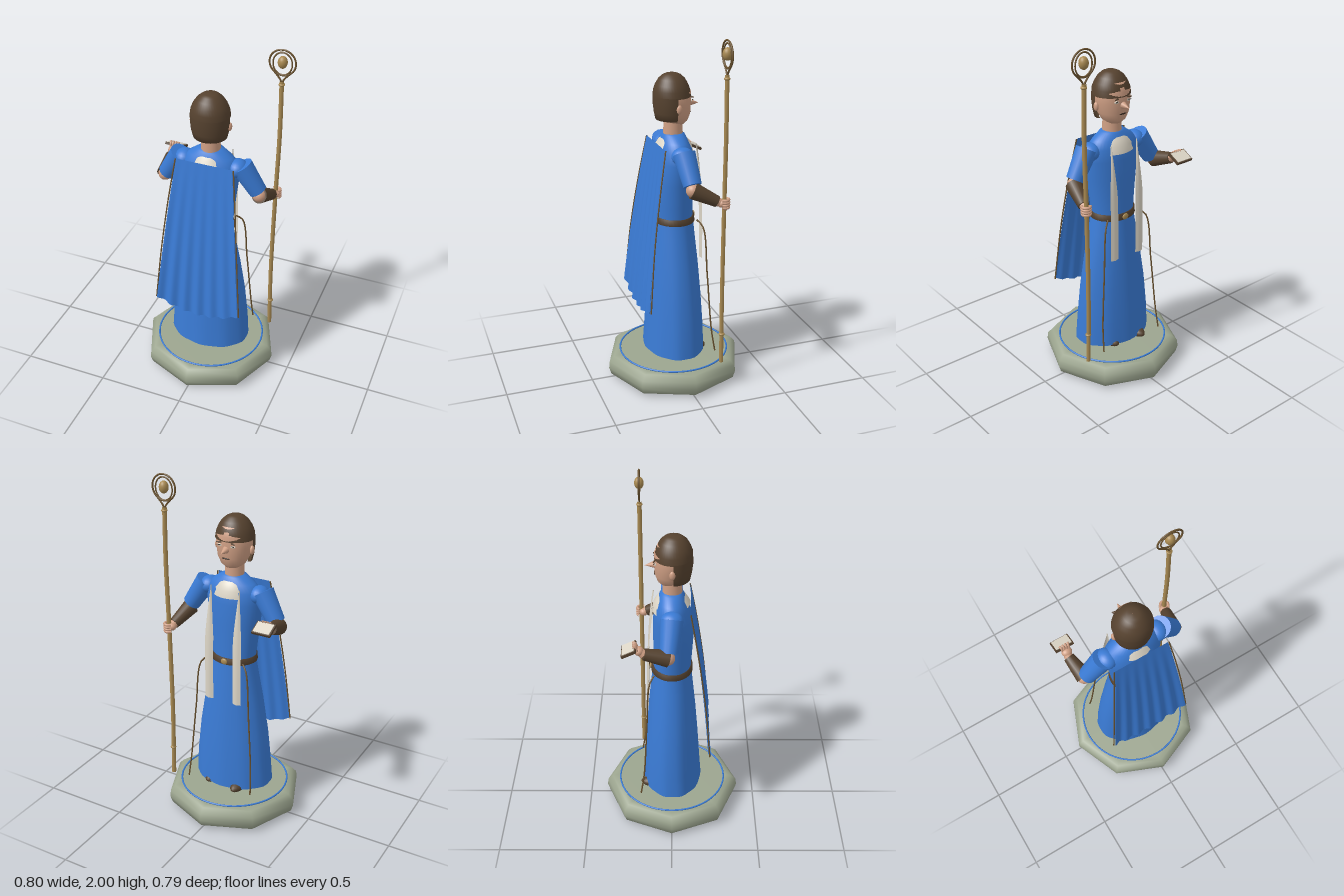
import * as THREE from 'three';

const mat = (name, color, side = THREE.FrontSide) => {
  const m = new THREE.MeshStandardMaterial({ color, side });
  m.name = name;
  return m;
};
const V = (x, y, z) => new THREE.Vector3(x, y, z);

// Surface over a grid of points; u runs to the right and v runs up as seen from outside
function grid(nu, nv, point, wrap = false) {
  const pos = [], idx = [], cols = wrap ? nu : nu + 1;
  for (let j = 0; j <= nv; j++)
    for (let i = 0; i < cols; i++) pos.push(...point(i / nu, j / nv, j));
  for (let j = 0; j < nv; j++)
    for (let i = 0; i < nu; i++) {
      const a = j * cols + i, b = j * cols + (i + 1) % cols;
      idx.push(a, b, a + cols, b, b + cols, a + cols);
    }
  const g = new THREE.BufferGeometry();
  g.setAttribute('position', new THREE.Float32BufferAttribute(pos, 3));
  g.setIndex(idx);
  g.computeVertexNormals();
  return g;
}

// Elliptical loft through rows [y, rx, rz, zCentre]; angle 0 is the back (+z)
function loft(rows, start = 0, len = Math.PI * 2, wave = 0, n = 40) {
  const full = len > 6.28;
  return grid(n, rows.length - 1, (u, v, j) => {
    const [y, rx, rz, cz = 0] = rows[j], a = start + u * len;
    const k = 1 + wave * Math.cos(a * 10) * (1 - v);
    return [Math.sin(a) * rx * k, y, cz + Math.cos(a) * rz * k];
  }, full);
}

export function createModel() {
  const D = THREE.DoubleSide;
  const blue = mat('robe blue', 0x3a7bd5, D);
  const brown = mat('leather brown', 0x55422f);
  const hairMat = mat('hair brown', 0x56422f, D);
  const skin = mat('skin', 0xcf9f84);
  const cream = mat('cream cloth', 0xdcd5c6, D);
  const gold = mat('aged gold', 0xa98a52);
  const trim = mat('trim bronze', 0x6b5330);
  const stone = mat('sage stone', 0x9ca58f);
  const dark = mat('dark features', 0x33251c);

  const model = new THREE.Group();
  model.name = 'robedFigure';
  const add = (name, geo, m, x = 0, y = 0, z = 0) => {
    const mesh = new THREE.Mesh(geo, m);
    mesh.name = name;
    mesh.position.set(x, y, z);
    model.add(mesh);
    return mesh;
  };
  const ball = (name, m, x, y, z, rx, ry = rx, rz = rx) => {
    const b = add(name, new THREE.SphereGeometry(1, 20, 14), m, x, y, z);
    b.scale.set(rx, ry, rz);
    return b;
  };
  const limb = (name, m, a, b, ra, rb, n = 18) => {
    const d = b.clone().sub(a);
    const c = add(name, new THREE.CylinderGeometry(rb, ra, d.length(), n), m);
    c.position.copy(a).add(b).multiplyScalar(0.5);
    c.quaternion.setFromUnitVectors(V(0, 1, 0), d.normalize());
    return c;
  };
  const tube = (name, m, pts, r, n = 30) =>
    add(name, new THREE.TubeGeometry(new THREE.CatmullRomCurve3(pts), n, r, 8), m);

  // Octagonal plinth with a rounded rim and an inlaid ring
  const rim = [[0, 0], [0.34, 0], [0.385, 0.02], [0.397, 0.06], [0.393, 0.1], [0.365, 0.13], [0.33, 0.135], [0, 0.135]];
  add('plinth', new THREE.LatheGeometry(rim.map(p => new THREE.Vector2(...p)), 8), stone);
  add('plinthRing', new THREE.TorusGeometry(0.315, 0.005, 8, 64).rotateX(Math.PI / 2), blue, 0, 0.139, 0);

  // Robe: skirt, torso and belt
  add('skirt', loft([
    [0.165, 0.235, 0.17, 0.003], [0.3, 0.227, 0.163], [0.5, 0.207, 0.15],
    [0.7, 0.175, 0.134], [0.85, 0.145, 0.119], [0.96, 0.126, 0.108]], 0, Math.PI * 2, 0.012), blue);
  add('torso', loft([
    [0.95, 0.125, 0.105], [1.05, 0.135, 0.108, 0.004], [1.18, 0.15, 0.112, 0.008],
    [1.3, 0.165, 0.107, 0.005], [1.37, 0.16, 0.092], [1.41, 0.125, 0.075],
    [1.445, 0.075, 0.06], [1.452, 0.05, 0.048]]), blue);
  add('belt', loft([
    [0.945, 0.126, 0.108], [0.945, 0.136, 0.117], [0.98, 0.134, 0.115], [0.98, 0.12, 0.104]]), brown);
  ball('buckle', gold, 0, 0.963, -0.118, 0.02, 0.018, 0.008);

  // Cream collar showing at the front and the nape
  const collar = [[1.34, 0.125, 0.109], [1.38, 0.115, 0.1], [1.41, 0.095, 0.082], [1.425, 0.078, 0.07]];
  add('frontCollar', loft(collar, Math.PI - 0.95, 1.9, 0, 16), cream);
  add('backCollar', loft(collar.slice(1), -0.6, 1.2, 0, 12), cream);

  // Shoes
  for (const s of [-1, 1]) ball('shoe', brown, s * 0.09, 0.168, s < 0 ? -0.09 : -0.07, 0.042, 0.033, 0.095);

  // Stole ends, pointed at the top, and hanging cords
  for (const s of [-1, 1]) {
    add('stole', grid(4, 16, (u, v) => {
      const w = 0.026 * Math.min(1, (1 - v) * 2.2 + 0.08);
      return [s * 0.088 - (u - 0.5) * 2 * w, 0.72 + 0.68 * v, -0.137 + 0.035 * v ** 3 + 0.004 * Math.cos(u * 6.28)];
    }), cream);
    tube('cord', trim, [V(s * 0.11, 0.965, -0.1), V(s * 0.145, 0.93, -0.125), V(s * 0.172, 0.65, -0.143),
      V(s * 0.198, 0.32, -0.162), V(s * 0.207, 0.18, -0.182)], 0.0045);
  }

  // Cape with folds that deepen towards the hem
  add('cape', grid(60, 20, (u, v) => {
    const s = u * 2 - 1, d = 1 - v, half = 0.16 + 0.09 * d ** 0.9;
    const hem = 0.44 + 0.06 * s * s;
    return [s * half, hem + (1.4 - hem) * v,
      0.102 + 0.155 * d - 0.04 * d * d + 0.008 * d * Math.cos(s * 19)];
  }), blue);
  for (const s of [-1, 1])
    tube('capeTrim', trim, [V(s * 0.166, 1.4, 0.1), V(s * 0.196, 1.15, 0.143), V(s * 0.226, 0.85, 0.185),
      V(s * 0.255, 0.5, 0.217)], 0.004);

  // Neck and head
  add('neck', new THREE.CylinderGeometry(0.05, 0.056, 0.14, 24), skin, 0, 1.475, 0.002);
  add('head', loft([
    [1.495, 0.001, 0.001, -0.015], [1.5, 0.04, 0.04, -0.02], [1.52, 0.068, 0.066, -0.012], [1.56, 0.088, 0.086, -0.006],
    [1.62, 0.099, 0.095], [1.68, 0.099, 0.094], [1.73, 0.075, 0.075], [1.76, 0.001, 0.001]]), skin);
  add('hairCap', loft([
    [1.655, 0.109, 0.103, 0.008], [1.69, 0.104, 0.1, 0.01], [1.72, 0.092, 0.089, 0.01],
    [1.75, 0.072, 0.072, 0.01], [1.77, 0.048, 0.05, 0.01], [1.778, 0.03, 0.032, 0.01], [1.779, 0.001, 0.001, 0.01]]), hairMat);
  add('hairBack', loft([
    [1.525, 0.07, 0.06, 0.008], [1.53, 0.094, 0.09, 0.008], [1.57, 0.104, 0.098, 0.008], [1.62, 0.109, 0.104, 0.008],
    [1.66, 0.109, 0.103, 0.008]], -Math.PI / 2, Math.PI), hairMat);

  // Face
  const nose = add('nose', new THREE.ConeGeometry(0.024, 0.065, 14), skin, 0, 1.608, -0.113);
  nose.rotation.x = -Math.PI / 2 - 0.12;
  for (const s of [-1, 1]) {
    ball('ear', skin, s * 0.107, 1.6, 0.002, 0.012, 0.025, 0.016);
    ball('eye', cream, s * 0.038, 1.632, -0.087, 0.017, 0.008, 0.005);
    ball('eyelid', dark, s * 0.038, 1.635, -0.0905, 0.017, 0.003, 0.003).rotation.y = s * 0.4;
    ball('eyebrow', hairMat, s * 0.038, 1.65, -0.09, 0.022, 0.004, 0.005).rotation.y = s * 0.4;
  }
  ball('mouth', dark, 0, 1.562, -0.092, 0.024, 0.004, 0.004);

  // Arms: sleeve, elbow, bracer and hand
  const arms = [
    [-1, V(-0.285, 1.205, -0.02), V(-0.305, 1.245, -0.148), V(-0.302, 1.265, -0.172)],
    [1, V(0.275, 1.2, -0.015), V(0.308, 1.135, -0.142), V(0.312, 1.125, -0.165)]];
  for (const [s, elbow, wrist, palm] of arms) {
    limb('sleeve', blue, V(s * 0.175, 1.375, 0), V(s * 0.268, 1.225, -0.015), 0.062, 0.05);
    ball('shoulder', blue, s * 0.155, 1.355, 0, 0.055, 0.05, 0.062);
    ball('elbow', skin, elbow.x, elbow.y, elbow.z, 0.038);
    limb('bracer', brown, elbow, wrist, 0.047, 0.031);
    limb('wrist', skin, wrist, palm, 0.025, 0.022);
    ball('palm', skin, palm.x, palm.y, palm.z, 0.03, 0.024, 0.026);
  }
  for (let i = 0; i < 4; i++) {
    const t = (i - 1.5) * 0.014;
    // fingers under and over the book edge, and around the staff
    tube('bookFinger', skin, [V(-0.302 + t, 1.275, -0.18), V(-0.302 + t, 1.3, -0.19), V(-0.302 + t * 1.2, 1.302, -0.205)], 0.0065, 8);
    tube('staffFinger', skin, [V(0.335, 1.125 + t, -0.16), V(0.343, 1.125 + t, -0.185), V(0.32, 1.125 + t, -0.203),
      V(0.298, 1.125 + t, -0.19)], 0.008, 10);
  }

  // Open book, sloping down towards the front
  const book = new THREE.Group();
  book.name = 'book';
  const cover = new THREE.Mesh(new THREE.BoxGeometry(0.108, 0.014, 0.082), brown);
  cover.name = 'cover';
  const page = new THREE.Mesh(new THREE.BoxGeometry(0.094, 0.006, 0.07), cream);
  page.name = 'page';
  page.position.y = 0.008;
  book.add(cover, page);
  book.position.set(-0.303, 1.275, -0.224);
  book.rotation.x = -0.45;
  model.add(book);

  // Staff with knots, ringed head and orb
  const sz = -0.178;
  tube('staff', gold, [V(0.317, 0.165, sz), V(0.311, 0.6, sz), V(0.317, 1.1, sz), V(0.325, 1.5, sz), V(0.322, 1.82, sz)], 0.0125, 40);
  for (const [x, y] of [[0.316, 0.34], [0.323, 1.8]]) ball('staffKnot', gold, x, y, sz, 0.017, 0.01, 0.017);
  add('outerRing', new THREE.TorusGeometry(0.071, 0.005, 8, 48), trim, 0.322, 1.924, sz);
  add('innerRing', new THREE.TorusGeometry(0.052, 0.004, 8, 40), trim, 0.322, 1.918, sz).scale.y = 1.2;
  for (const s of [-1, 1])
    tube('ringArm', trim, [V(0.322, 1.81, sz), V(0.322 + s * 0.014, 1.835, sz), V(0.322 + s * 0.045, 1.87, sz)], 0.005, 12);
  ball('orb', gold, 0.322, 1.926, sz, 0.026, 0.034, 0.026);

  return model;
}
